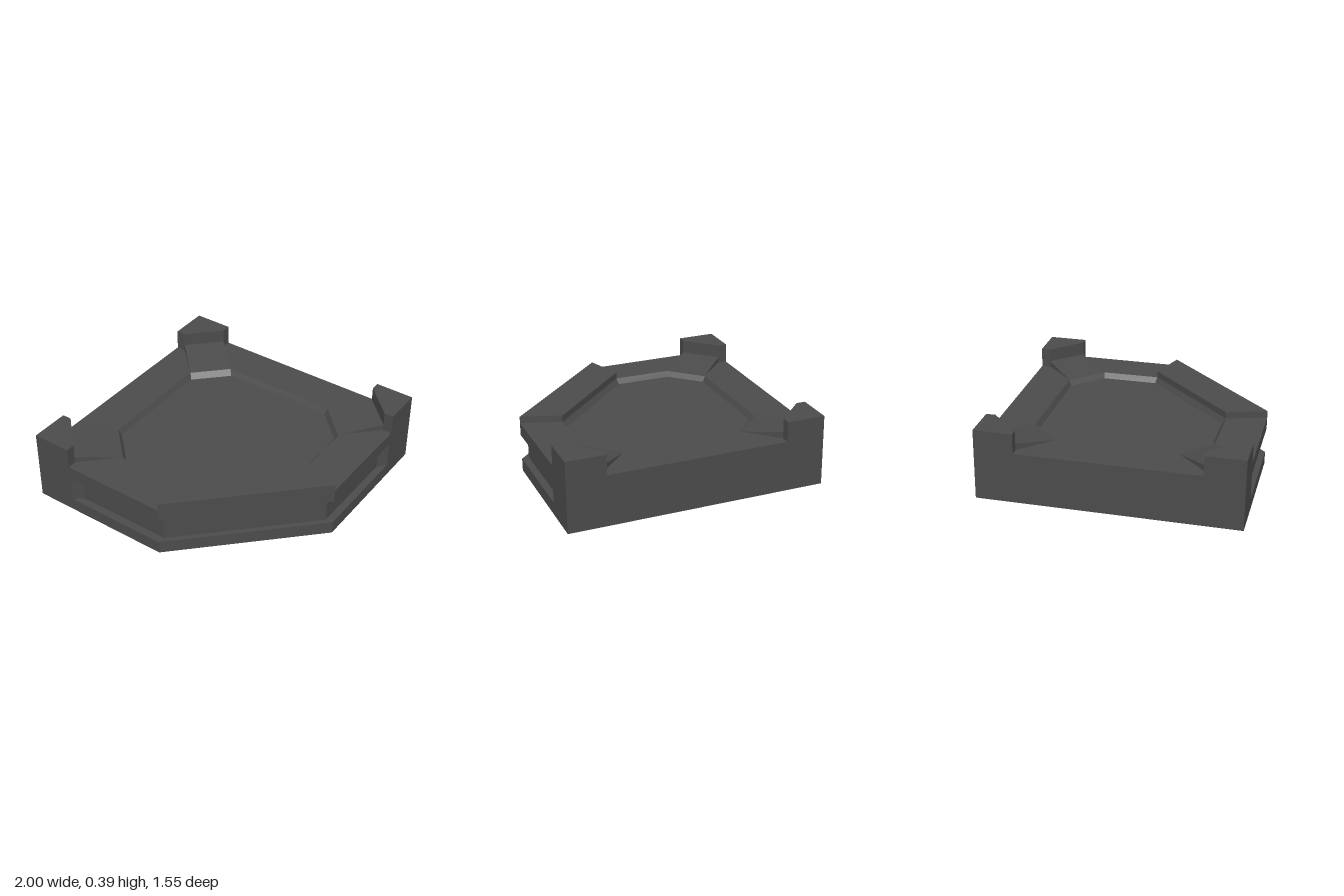
import * as THREE from 'three';

const stone = new THREE.MeshStandardMaterial({ color: 0x4b4b4b });
stone.name = 'dark grey';

// Plan outline from its +x half, listed back to front as [x, z]
const mirror = (half) => [
  ...half,
  ...half.filter(([x]) => x > 0).reverse().map(([x, z]) => [-x, z]),
];
const vectors = (ring) => ring.map(([x, z]) => new THREE.Vector2(x, z));

function part(name, geometry) {
  const mesh = new THREE.Mesh(geometry, stone);
  mesh.name = name;
  return mesh;
}

// Flat slab between two heights, with an optional opening
function slab(name, ring, bottom, top, hole) {
  const shape = new THREE.Shape(vectors(ring));
  if (hole) shape.holes.push(new THREE.Path(vectors(hole)));
  const geometry = new THREE.ExtrudeGeometry(shape, { depth: top - bottom, bevelEnabled: false });
  geometry.rotateX(Math.PI / 2).translate(0, top, 0);
  return part(name, geometry);
}

// Sloping inner wall between a lower and an upper ring
function slopedWall(name, low, yLow, high, yHigh) {
  const positions = [];
  low.forEach((p, i) => {
    const j = (i + 1) % low.length;
    const a = [p[0], yLow, p[1]];
    const b = [low[j][0], yLow, low[j][1]];
    const c = [high[j][0], yHigh, high[j][1]];
    const d = [high[i][0], yHigh, high[i][1]];
    positions.push(...a, ...b, ...c, ...a, ...c, ...d);
  });
  const geometry = new THREE.BufferGeometry();
  geometry.setAttribute('position', new THREE.Float32BufferAttribute(positions, 3));
  geometry.computeVertexNormals();
  return part(name, geometry);
}

// Raised corner with a ramp on its inner side, pointing to +x
function cornerPost(name, angle) {
  const group = new THREE.Group();
  group.name = name;
  const plan = [[1, 0], [0.85, 0.15], [0.815, 0.115], [0.815, -0.115], [0.85, -0.15]];
  group.add(slab('post', plan, 0.28, 0.39));
  const profile = new THREE.Shape(vectors([[0.58, 0.28], [0.815, 0.28], [0.815, 0.315]]));
  const ramp = new THREE.ExtrudeGeometry(profile, { depth: 0.23, bevelEnabled: false });
  group.add(part('ramp', ramp.translate(0, 0, -0.115)));
  group.rotation.y = angle;
  group.position.z = 0.22;
  return group;
}

export function createModel() {
  const model = new THREE.Group();
  model.name = 'cornerPlatform';

  const outline = mirror([[0, -0.78], [1, 0.22], [0.445, 0.775]]);
  const grooved = mirror([[0, -0.78], [1, 0.22], [0.845, 0.375], [0.785, 0.38], [0.415, 0.75]]);
  const recessEdge = mirror([[0.115, -0.36], [0.57, 0.1], [0.57, 0.34], [0.345, 0.57]]);
  const recessFloor = mirror([[0.115, -0.335], [0.553, 0.105], [0.553, 0.33], [0.335, 0.55]]);
  const cavityEdge = mirror([[0, -0.49], [0.69, 0.21], [0.35, 0.57]]);
  const cavityFloor = mirror([[0, -0.39], [0.6, 0.21], [0.31, 0.5]]);

  // Body in three layers, the middle one set back to form the groove
  model.add(slab('baseLayer', outline, 0, 0.07, cavityEdge));
  model.add(slab('groovedLayer', grooved, 0.07, 0.21));
  model.add(slab('topLayer', outline, 0.21, 0.28, recessEdge));

  // Shallow recess on top and hollow underneath
  model.add(slab('recessFloor', recessFloor, 0.21, 0.25));
  model.add(slopedWall('recessWall', recessFloor, 0.25, recessEdge, 0.28));
  model.add(slopedWall('undersideWall', cavityEdge, 0, cavityFloor, 0.07));

  // Raised front lip
  model.add(slab('frontLip', mirror([[0.345, 0.57], [0.445, 0.775]]), 0.28, 0.317));

  // Corner posts
  ['leftCorner', 'backCorner', 'rightCorner'].forEach((name, i) => {
    model.add(cornerPost(name, (i * Math.PI) / 2));
  });
  return model;
}
